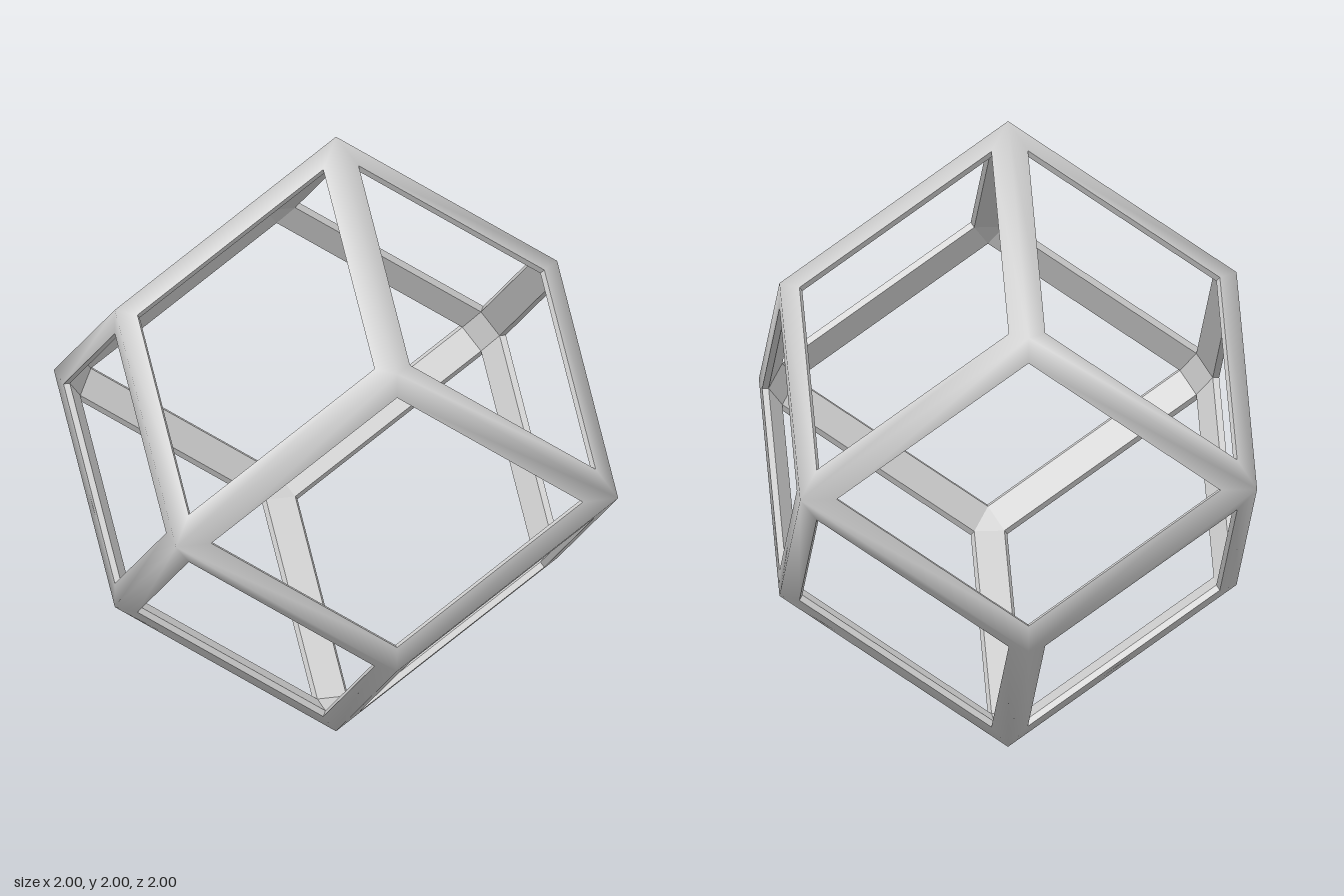
import * as THREE from 'three';
import { mergeVertices } from 'three/addons/utils/BufferGeometryUtils.js';

const OPENING = 0.84; // opening size relative to its rhombic face
const WALL = 0.02;    // depth of the opening walls
const V = (x, y, z) => new THREE.Vector3(x, y, z);

// Append a convex polygon as a fan, turned so that it faces the given direction
function addPolygon(list, pts, facing) {
  const normal = pts[1].clone().sub(pts[0]).cross(pts[2].clone().sub(pts[0]));
  const p = normal.dot(facing) > 0 ? pts : [...pts].reverse();
  for (let i = 1; i < p.length - 1; i++) {
    for (const q of [p[0], p[i], p[i + 1]]) list.push(q.x, q.y, q.z);
  }
}

function makeMesh(name, list, smooth) {
  let geometry = new THREE.BufferGeometry();
  geometry.setAttribute('position', new THREE.Float32BufferAttribute(list, 3));
  if (smooth) geometry = mergeVertices(geometry, 1e-5);
  geometry.computeVertexNormals();
  const mesh = new THREE.Mesh(geometry, new THREE.MeshStandardMaterial({ color: 0xcccccc }));
  mesh.name = name;
  mesh.position.y = 1;
  return mesh;
}

export function createModel() {
  // Rhombic dodecahedron: 6 tips, 8 cube corners, 12 faces n with n.v = 1
  const tips = [], corners = [], faces = [];
  for (const a of [-1, 1]) {
    tips.push(V(a, 0, 0), V(0, a, 0), V(0, 0, a));
    for (const b of [-1, 1]) {
      faces.push(V(a, b, 0), V(0, a, b), V(b, 0, a));
      for (const c of [-1, 1]) corners.push(V(a / 2, b / 2, c / 2));
    }
  }
  const touches = (n, v) => Math.abs(n.dot(v) - 1) < 1e-6;
  const rim = (n, v) => n.clone().multiplyScalar(0.5).lerp(v, OPENING);
  const innerRim = (n, v) => rim(n, v).addScaledVector(n, -WALL / Math.SQRT2);

  const outer = [], walls = [], inner = [];

  // One strut for every edge, from a tip to a cube corner
  for (const tip of tips) {
    for (const corner of corners) {
      const sides = faces.filter((n) => touches(n, tip) && touches(n, corner));
      if (sides.length !== 2) continue;
      const middle = tip.clone().add(corner).multiplyScalar(0.5);
      for (const n of sides) {
        addPolygon(outer, [tip, corner, rim(n, corner), rim(n, tip)], n);
        addPolygon(walls, [rim(n, tip), rim(n, corner), innerRim(n, corner), innerRim(n, tip)],
          n.clone().multiplyScalar(0.5).sub(middle));
      }
      const [n, m] = sides;
      addPolygon(inner, [innerRim(n, tip), innerRim(n, corner), innerRim(m, corner), innerRim(m, tip)],
        middle.negate());
    }
  }

  // Flat inside caps where the struts meet
  for (const v of [...tips, ...corners]) {
    const around = faces.filter((n) => touches(n, v));
    const axis = v.clone().normalize();
    const u = around[0].clone().projectOnPlane(axis).normalize();
    const w = axis.clone().cross(u);
    const angle = (n) => Math.atan2(n.dot(w), n.dot(u));
    around.sort((a, b) => angle(a) - angle(b));
    addPolygon(inner, around.map((n) => innerRim(n, v)), v.clone().negate());
  }

  const group = new THREE.Group();
  group.name = 'rhombicFrame';
  group.add(
    makeMesh('outerStruts', outer, true),
    makeMesh('openingWalls', walls, false),
    makeMesh('innerStruts', inner, false),
  );
  return group;
}
